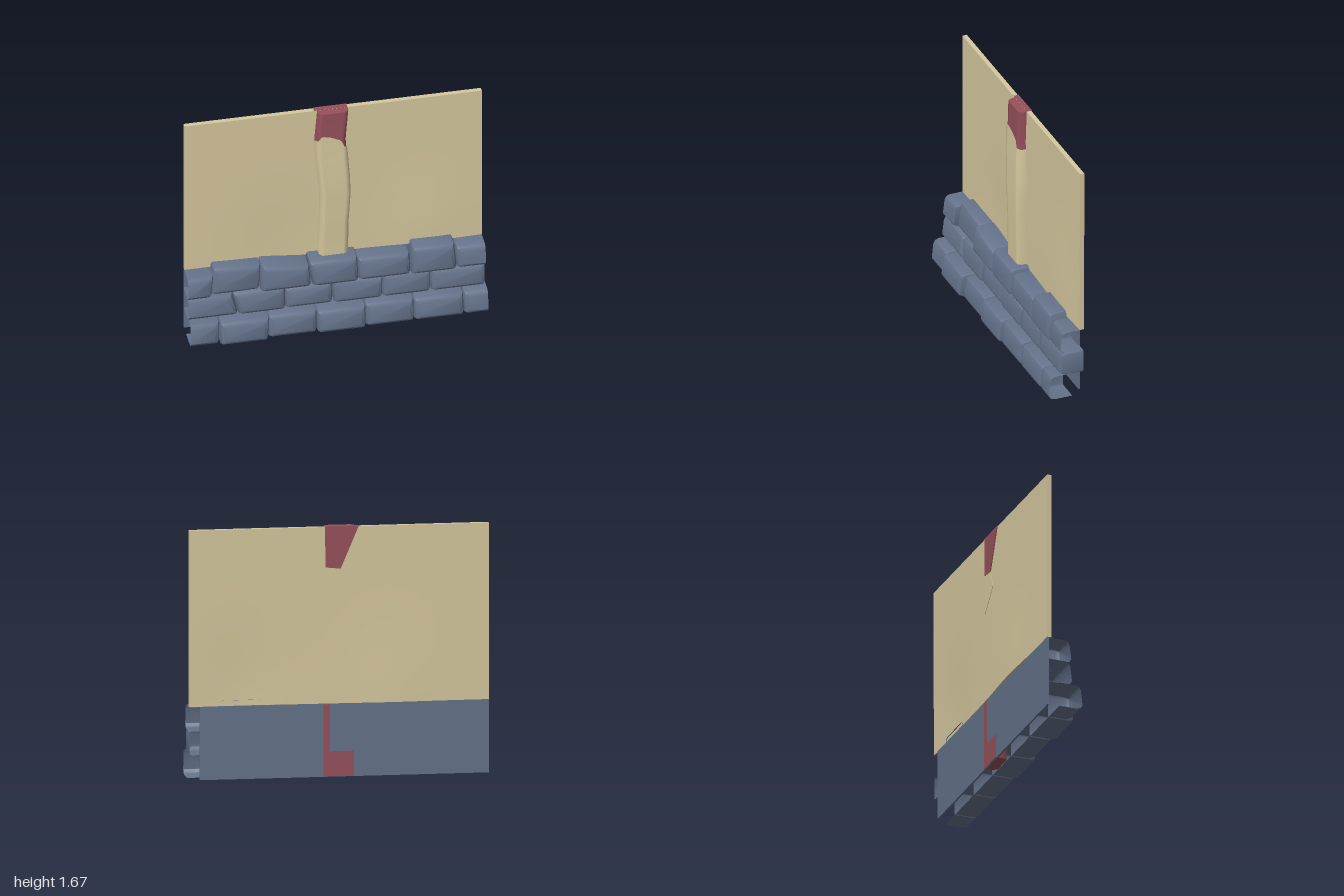
import * as THREE from 'three';
import { toCreasedNormals } from 'three/addons/utils/BufferGeometryUtils.js';

const mat = (name, color, side = THREE.FrontSide) =>
  Object.assign(new THREE.MeshStandardMaterial({ color, side }), { name });

// Skin a series of rings; skip(i) leaves out the strip after point i
function loft(rings, { capStart = false, capEnd = false, skip = () => false, crease = 1.2 } = {}) {
  const pos = [];
  const tri = (a, b, c) => {
    const n = new THREE.Vector3().subVectors(b, a).cross(new THREE.Vector3().subVectors(c, a));
    if (n.length() > 1e-8) for (const p of [a, b, c]) pos.push(p.x, p.y, p.z);
  };
  for (let k = 0; k < rings.length - 1; k++) {
    const a = rings[k], b = rings[k + 1];
    a.forEach((_, i) => {
      if (skip(i)) return;
      const j = (i + 1) % a.length;
      tri(a[i], a[j], b[j]);
      tri(a[i], b[j], b[i]);
    });
  }
  const first = rings[0], last = rings[rings.length - 1];
  for (let i = 1; i < first.length - 1; i++) {
    if (capStart) tri(first[0], first[i + 1], first[i]);
    if (capEnd) tri(last[0], last[i], last[i + 1]);
  }
  const g = new THREE.BufferGeometry();
  g.setAttribute('position', new THREE.Float32BufferAttribute(pos, 3));
  return toCreasedNormals(g, crease);
}

// Bevelled stone: corners bottom left, bottom right, top right, top left
function stoneGeometry(corners, back, front, openLeft, openRight) {
  const ring = (inset, z, lean) => {
    const c = corners.map(([x, y], i) => {
      const left = i === 0 || i === 3, open = left ? openLeft : openRight;
      return new THREE.Vector3(
        x + (open ? 0 : left ? inset : -inset),
        y + (i < 2 ? inset : -inset),
        z - (i < 2 ? 0 : lean));
    });
    const pts = [];
    c.forEach((p, i) => {
      const open = i === 0 || i === 3 ? openLeft : openRight;
      const r = open ? 0 : 0.016;
      const prev = c[(i + 3) % 4], next = c[(i + 1) % 4];
      const a = p.clone().add(prev.clone().sub(p).setLength(r));
      const b = p.clone().add(next.clone().sub(p).setLength(r));
      const mid = a.clone().add(b).multiplyScalar(0.25).addScaledVector(p, 0.5);
      pts.push(a, mid, b);
    });
    return pts;
  };
  return loft(
    [ring(0, back, 0), ring(0, front - 0.04, 0.008), ring(0.01, front - 0.013, 0.01), ring(0.03, front, 0.012)],
    { capEnd: true, crease: 0.6, skip: i => (openRight && i === 5) || (openLeft && i === 11) });
}

// Post outline by height: y, left, right, front z
const POST = [
  [0, -0.1, 0.1, -0.045], [0.5, -0.1, 0.09, -0.043], [0.75, -0.095, 0.092, -0.038],
  [1.0, -0.09, 0.105, -0.029], [1.15, -0.105, 0.1, -0.032],
  [1.43, -0.13, 0.08, -0.045], [1.67, -0.11, 0.098, -0.043],
];
function postAt(y) {
  let k = 0;
  while (k < POST.length - 2 && y > POST[k + 1][0]) k++;
  const a = POST[k], b = POST[k + 1], t = (y - a[0]) / (b[0] - a[0]);
  return a.map((v, i) => v + (b[i] - v) * t);
}
const FRONT_STEPS = 10;
function postRing(y, grow, heightAt) {
  const n = FRONT_STEPS + 5;
  return Array.from({ length: n }, (_, i) => {
    const point = h => {
      const [, l, r, f] = postAt(h);
      const L = l - grow, R = r + grow, F = f + grow, B = -0.128;
      if (i === 0) return [L, B];
      if (i === 1) return [L, F - 0.025];
      if (i === n - 2) return [R, F - 0.025];
      if (i === n - 1) return [R, B];
      const s = (i - 2) / FRONT_STEPS;
      return [L + 0.02 + (R - L - 0.04) * s, F];
    };
    const h = heightAt ? heightAt(point(y)[0]) : y;
    const [x, z] = point(h);
    return new THREE.Vector3(x, h, z);
  });
}

// Broken top edge of the plaster on the post
const JAG = [[-0.14, 1.45], [-0.112, 1.455], [-0.09, 1.492], [-0.03, 1.478], [0.03, 1.45], [0.055, 1.43], [0.062, 1.39], [0.1, 1.375]];
function jag(x) {
  let k = 0;
  while (k < JAG.length - 2 && x > JAG[k + 1][0]) k++;
  const [a, b] = [JAG[k], JAG[k + 1]];
  return a[1] + (b[1] - a[1]) * THREE.MathUtils.clamp((x - a[0]) / (b[0] - a[0]), 0, 1);
}

// Courses of stones: [bottom left x, bottom right x, top left x, top right x, top left y, top right y, front z]
const COURSES = [
  { y: 0.003, back: -0.045, openEnd: true, stones: [
    [-1, -0.805, -1, -0.8, 0.172, 0.172, 0.12], [-0.803, -0.48, -0.8, -0.472, 0.172, 0.172, 0.146],
    [-0.475, -0.15, -0.47, -0.147, 0.172, 0.172, 0.122], [-0.146, 0.177, -0.147, 0.178, 0.17, 0.172, 0.14],
    [0.18, 0.504, 0.178, 0.504, 0.177, 0.174, 0.125], [0.506, 0.84, 0.506, 0.838, 0.168, 0.168, 0.125],
    [0.842, 1, 0.84, 1, 0.172, 0.172, 0.122]] },
  { y: 0.167, back: -0.125, openEnd: false, stones: [
    [-1, -0.663, -1, -0.7, 0.333, 0.33, 0.045], [-0.66, -0.346, -0.698, -0.346, 0.337, 0.347, 0.05],
    [-0.344, -0.027, -0.344, -0.03, 0.32, 0.328, 0.04], [-0.02, 0.305, -0.022, 0.312, 0.34, 0.322, 0.047],
    [0.307, 0.63, 0.314, 0.634, 0.342, 0.337, 0.045], [0.632, 1, 0.635, 1, 0.332, 0.33, 0.045]] },
  { y: 0.325, back: -0.125, openEnd: true, stones: [
    [-1, -0.84, -1, -0.825, 0.487, 0.49, 0.04], [-0.838, -0.513, -0.822, -0.503, 0.53, 0.514, 0.01],
    [-0.512, -0.17, -0.5, -0.182, 0.52, 0.484, 0.045], [-0.16, 0.148, -0.182, 0.14, 0.512, 0.514, 0.05],
    [0.15, 0.498, 0.144, 0.492, 0.494, 0.49, 0.043], [0.498, 0.807, 0.512, 0.793, 0.528, 0.526, 0.05],
    [0.808, 1, 0.805, 1, 0.489, 0.487, 0.04]] },
];

export function createModel() {
  const model = new THREE.Group();
  model.name = 'wallSection';
  const plaster = mat('plaster', 0xd6c89e);
  const stone = mat('stone', 0x64728a, THREE.DoubleSide);
  const wood = mat('redWood', 0x96505a);
  const add = (name, geometry, material, parent = model) => {
    const m = new THREE.Mesh(geometry, material);
    m.name = name;
    parent.add(m);
  };

  // Plaster panel, gently warped
  const panel = new THREE.BoxGeometry(2, 1.18, 0.032, 24, 14, 1);
  const p = panel.attributes.position;
  const hump = (x, y, cx, cy, w) => Math.exp(-(((x - cx) / w) ** 2) - ((y - cy) / 0.4) ** 2);
  for (let i = 0; i < p.count; i++) {
    const x = p.getX(i), y = p.getY(i) + 1.08;
    p.setXYZ(i, x, y, p.getZ(i) - 0.115
      - 0.014 * hump(x, y, -0.35, 0.5, 0.28) + 0.014 * hump(x, y, 0.65, 0.6, 0.28));
  }
  panel.computeVertexNormals();
  add('plasterPanel', panel, plaster);

  // Timber post and the plaster still covering it
  add('post', loft(POST.map(r => postRing(r[0] || 0.005, -0.002)), { capStart: true, capEnd: true }), wood);
  const skin = [0.49, 0.75, 1.0, 1.15, 1.3].map(y => postRing(y, 0.003));
  skin.push(postRing(1.45, 0.003, jag));
  add('postPlaster', loft(skin, { skip: i => i === FRONT_STEPS + 4 }), plaster);

  // Stone base
  const base = new THREE.Group();
  base.name = 'stoneBase';
  model.add(base);
  for (const { y, back, openEnd, stones } of COURSES) {
    stones.forEach(([bl, br, tl, tr, yl, yr, front], i) => {
      const corners = [[bl, y], [br, y], [tr, yr], [tl, yl]];
      add('stone', stoneGeometry(corners, back, front, i === 0, openEnd && i === stones.length - 1), stone, base);
    });
  }
  const backing = new THREE.BoxGeometry(1.93, 0.49, 0.012);
  backing.translate(-0.035, 0.245, -0.124);
  add('stoneBacking', backing, stone, base);

  // Timber and plaster standing out at the back
  const backPlate = (name, material, pts, z, depth) => {
    const shape = new THREE.Shape(pts.map(q => new THREE.Vector2(...q)));
    add(name, new THREE.ExtrudeGeometry(shape, { depth, bevelEnabled: false }).translate(0, 0, z), material);
  };
  backPlate('postBackTop', wood, [[-0.01, 1.39], [0.09, 1.4], [0.095, 1.672], [-0.13, 1.672]], -0.136, 0.036);
  backPlate('plasterBulge', plaster, [[0.09, 1.12], [0.09, 1.4], [-0.01, 1.39], [-0.05, 1.27]], -0.134, 0.005);
  backPlate('postBackBottom', wood, [[-0.1, 0.002], [0.105, 0.002], [0.105, 0.485], [0.062, 0.485], [0.062, 0.17], [-0.1, 0.17]], -0.133, 0.005);
  return model;
}
